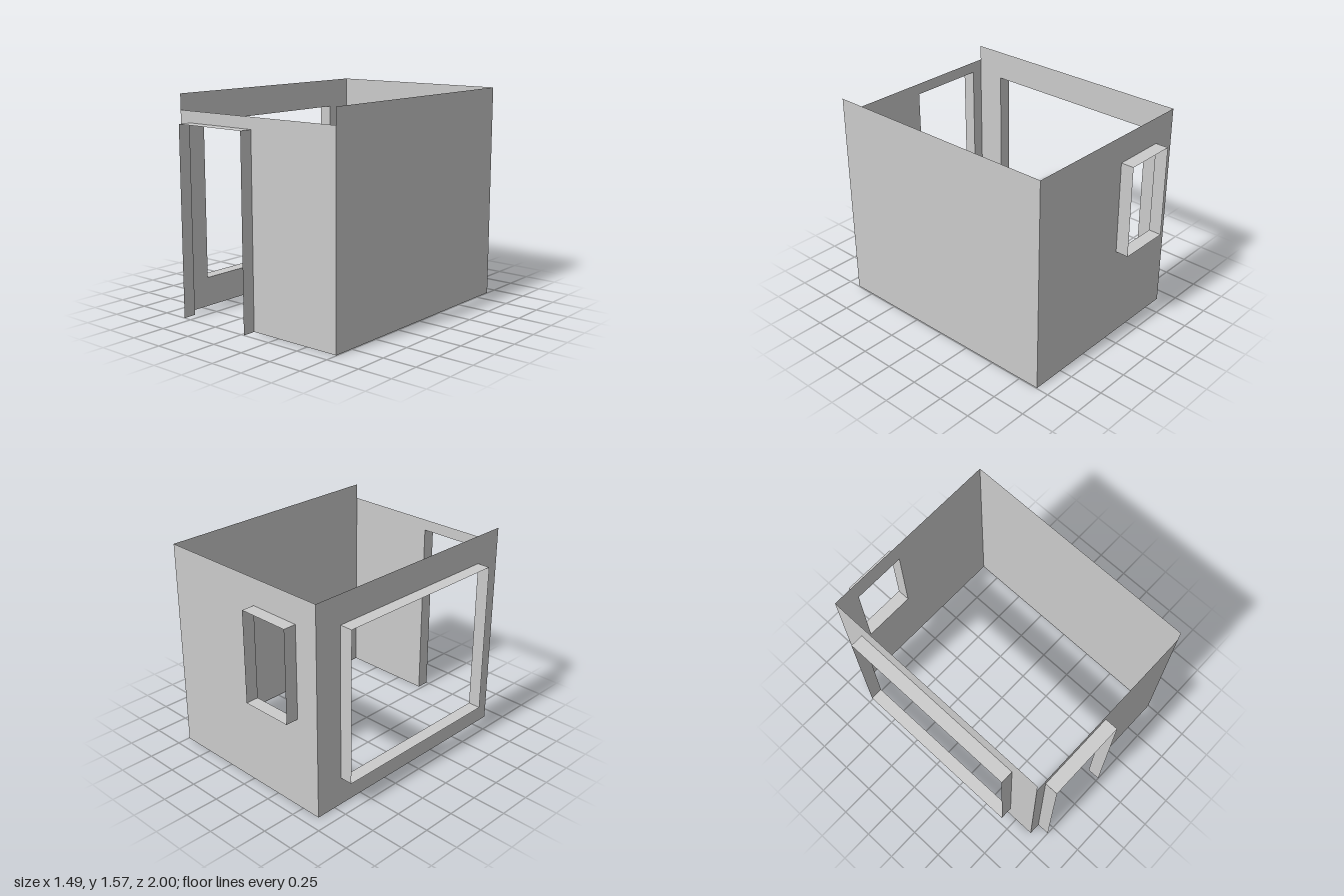
import * as THREE from 'three';

const material = new THREE.MeshStandardMaterial({ color: 0xcccccc, side: THREE.DoubleSide, flatShading: true });
const DEPTH = 0.097; // how far the frames stand out from the walls

function outline(Type, points) {
  return new Type(points.map(([u, v]) => new THREE.Vector2(u, v)));
}

// Frame panels run outward along the given corner points
function addFrame(parent, name, corners) {
  const frame = new THREE.Group();
  frame.name = name;
  for (let i = 0; i < corners.length - 1; i++) {
    const [a, b] = [corners[i], corners[i + 1]];
    const du = b[0] - a[0], dv = b[1] - a[1];
    const geometry = new THREE.PlaneGeometry(Math.hypot(du, dv), DEPTH);
    geometry.rotateX(Math.PI / 2);
    geometry.rotateZ(Math.atan2(dv, du));
    geometry.translate((a[0] + b[0]) / 2, (a[1] + b[1]) / 2, DEPTH / 2);
    const panel = new THREE.Mesh(geometry, material);
    panel.name = name + 'Panel';
    frame.add(panel);
  }
  parent.add(frame);
}

// Upright wall from u0 to u1, facing local +z, with an optional door or window
function makeWall(name, u0, u1, height, opening) {
  const group = new THREE.Group();
  group.name = name;
  const points = [[u0, 0], [u1, 0], [u1, height], [u0, height]];
  let hole = null;
  if (opening) {
    const { left, right, bottom, top } = opening;
    const corners = [[left, bottom], [left, top], [right, top], [right, bottom]];
    if (bottom === 0) {
      points.splice(1, 0, ...corners); // a door cuts through the bottom edge
    } else {
      hole = outline(THREE.Path, corners);
      corners.push(corners[0]);
    }
    addFrame(group, opening.name, corners);
  }
  const shape = outline(THREE.Shape, points);
  if (hole) shape.holes.push(hole);
  const panel = new THREE.Mesh(new THREE.ShapeGeometry(shape), material);
  panel.name = name + 'Panel';
  group.add(panel);
  return group;
}

export function createModel() {
  const model = new THREE.Group();
  model.name = 'room';
  const X0 = -0.648, X1 = 0.745, Z = 0.903, H = 1.567;

  // Front wall is a little lower than the others and holds the doorway
  const front = makeWall('frontWall', X0, X1, 1.454,
    { name: 'doorFrame', left: -0.561, right: 0.026, bottom: 0, top: 1.371 });
  front.position.z = Z;

  // Back wall with the small window
  const back = makeWall('backWall', -X1, -X0, H,
    { name: 'smallWindowFrame', left: 0.074, right: 0.466, bottom: 0.688, top: 1.371 });
  back.rotation.y = Math.PI;
  back.position.z = -Z;

  // Right wall with the large window
  const right = makeWall('rightWall', -Z, Z, H,
    { name: 'largeWindowFrame', left: -0.691, right: 0.691, bottom: 0.214, top: 1.355 });
  right.rotation.y = -Math.PI / 2;
  right.position.x = X0;

  // Plain left wall
  const left = makeWall('leftWall', -Z, Z, H);
  left.rotation.y = Math.PI / 2;
  left.position.x = X1;

  model.add(front, back, right, left);
  return model;
}
